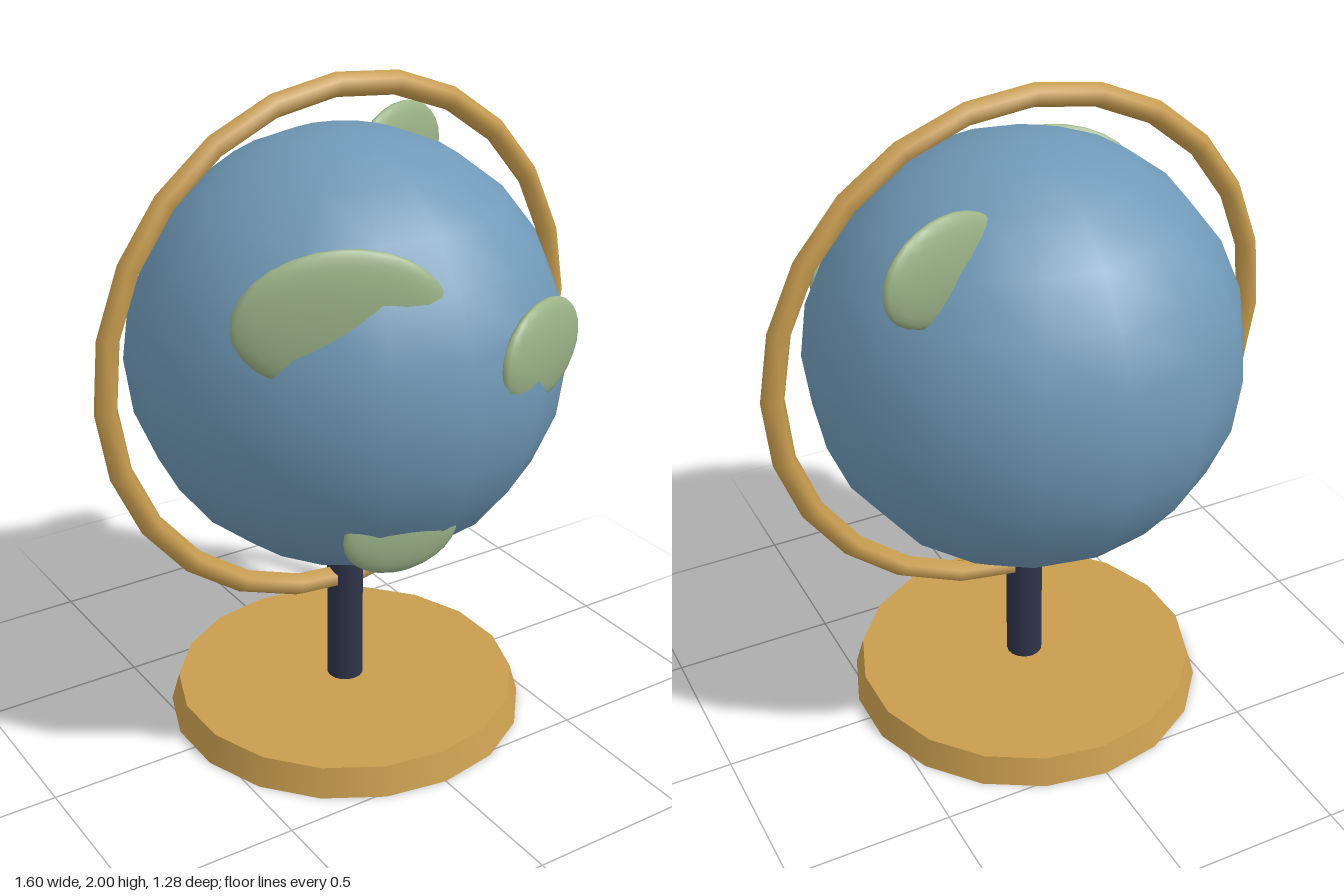
import * as THREE from 'three';

const paint = (color) => new THREE.MeshStandardMaterial({ color });

export function createModel() {
  const model = new THREE.Group();
  model.name = 'deskGlobe';
  const wood = paint(0xc99d4f);
  const metal = paint(0x2f354a);
  const sea = paint(0x7099b8);
  const land = paint(0x9bb287);

  const add = (name, geometry, material, x, y, z) => {
    const mesh = new THREE.Mesh(geometry, material);
    mesh.name = name;
    mesh.position.set(x, y, z);
    model.add(mesh);
    return mesh;
  };

  // Stand: tapered base plate and post
  add('base', new THREE.CylinderGeometry(0.525, 0.55, 0.088, 18), wood, 0, 0.044, 0);
  add('post', new THREE.CylinderGeometry(0.056, 0.056, 0.44, 16), metal, 0, 0.3, 0);

  // Globe and the tilted ring around it
  add('globe', new THREE.SphereGeometry(0.642, 16, 12), sea, 0, 1.2, 0);
  const ring = add('meridianRing', new THREE.TorusGeometry(0.766, 0.035, 6, 24), wood, 0, 1.2, 0);
  ring.rotation.z = 0.3;

  // Land masses: flattened ellipsoids half sunk into the globe
  // [name, centre, half width, half height, turn about y]
  const lands = [
    ['upperRightLand', [-0.3, 1.48, 0.445], 0.287, 0.19, -0.34],
    ['leftLand', [0.29, 1.3, 0.535], 0.205, 0.145, 0.39],
    ['lowerLand', [-0.115, 0.83, 0.465], 0.178, 0.125, -0.12],
    ['backLand', [0.37, 1.66, -0.275], 0.213, 0.15, 0.36],
  ];
  const blob = new THREE.SphereGeometry(1, 20, 14);
  for (const [name, centre, w, h, turn] of lands) {
    const mesh = add(name, blob, land, ...centre);
    mesh.scale.set(w, h, 0.038);
    mesh.rotation.y = turn;
  }
  return model;
}
